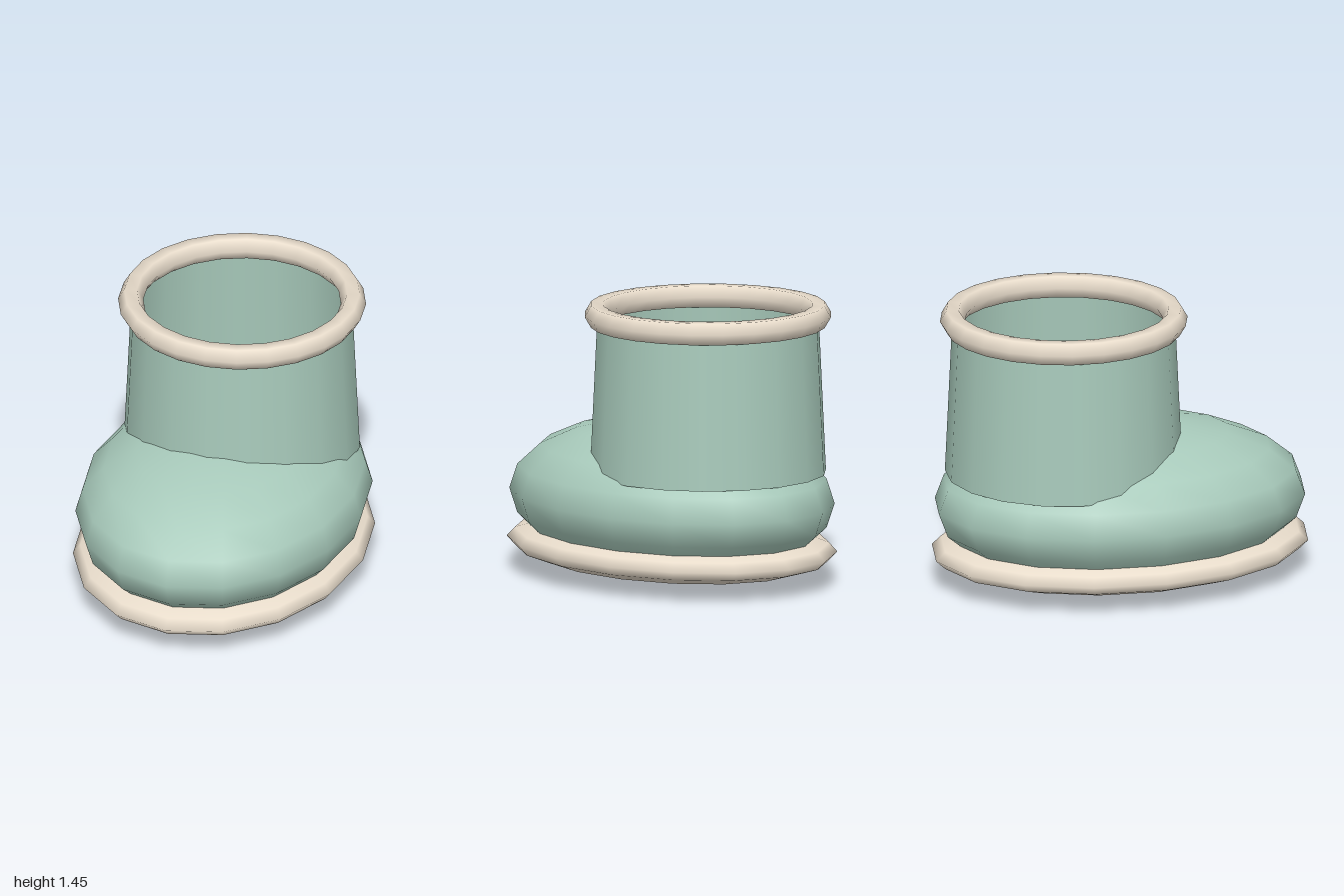
import * as THREE from 'three';

const green = new THREE.MeshStandardMaterial({ color: 0xa8cabb });
const greenOpen = new THREE.MeshStandardMaterial({ color: 0xa8cabb, side: THREE.DoubleSide });
const cream = new THREE.MeshStandardMaterial({ color: 0xe8dccb });

const SHAFT_Z = -0.306;

export function createModel() {
  const boot = new THREE.Group();
  boot.name = 'boot';

  const add = (name, geometry, material, x, y, z) => {
    const mesh = new THREE.Mesh(geometry, material);
    mesh.name = name;
    mesh.position.set(x, y, z);
    boot.add(mesh);
  };

  // Low-poly ellipsoid with the given radii
  const ellipsoid = (rx, ry, rz) => new THREE.SphereGeometry(1, 16, 10).scale(rx, ry, rz);

  // Rounded foot; its underside just breaks through the sole
  add('foot', ellipsoid(0.738, 0.41, 0.984), green, 0, 0.41, 0);

  // Flattened sole
  add('sole', ellipsoid(0.75, 0.146, 1), cream, 0, 0.16, 0);

  // Open, slightly tapered shaft set towards the heel
  const bottom = 0.578, top = 1.396;
  add('shaft', new THREE.CylinderGeometry(0.573, 0.611, top - bottom, 18, 1, true),
    greenOpen, 0, (top + bottom) / 2, SHAFT_Z);

  // Rolled cuff around the opening
  add('cuff', new THREE.TorusGeometry(0.573, 0.065, 6, 24).rotateX(-Math.PI / 2),
    cream, 0, 1.396, SHAFT_Z);

  return boot;
}
